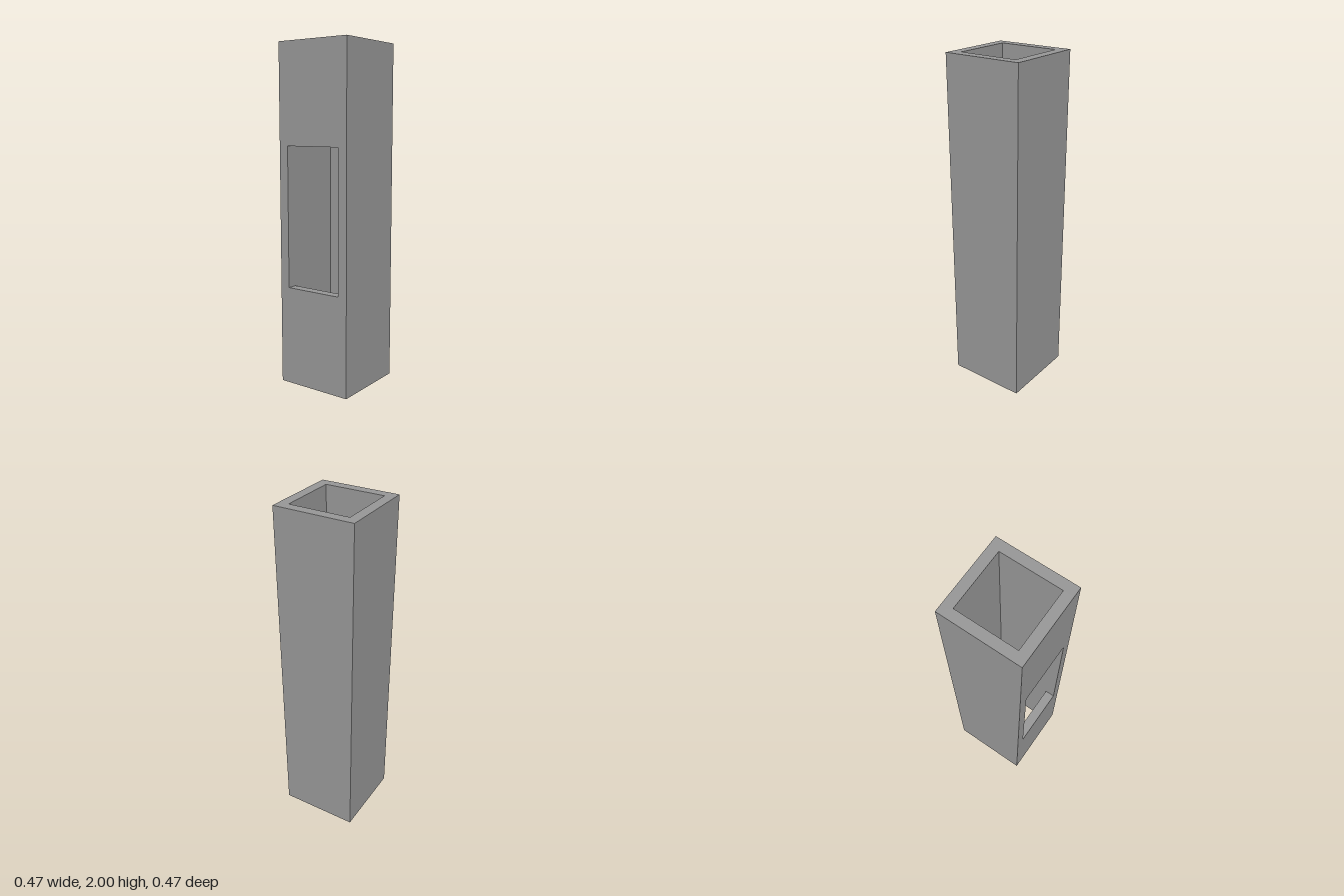
import * as THREE from 'three';

const HEIGHT = 2;
const OUTER = 0.235; // half width outside
const INNER = 0.177; // half width inside
const WINDOW_BOTTOM = 0.585;
const WINDOW_TOP = 1.415;

export function createModel() {
  const model = new THREE.Group();
  model.name = 'squareTube';
  const grey = new THREE.MeshStandardMaterial({ color: 0x959595 });
  grey.name = 'grey';

  // Back and side walls: a U-shaped section, open to the front, run up the full height
  const section = new THREE.Shape([
    [-OUTER, -OUTER], [-INNER, -OUTER], [-INNER, INNER], [INNER, INNER],
    [INNER, -OUTER], [OUTER, -OUTER], [OUTER, OUTER], [-OUTER, OUTER],
  ].map(([x, y]) => new THREE.Vector2(x, y)));
  const channelGeometry = new THREE.ExtrudeGeometry(section, { depth: HEIGHT, bevelEnabled: false });
  channelGeometry.rotateX(-Math.PI / 2);
  const channel = new THREE.Mesh(channelGeometry, grey);
  channel.name = 'backAndSideWalls';
  model.add(channel);

  // Front wall below and above the window, which is as wide as the inside
  const addFrontWall = (name, bottom, top) => {
    const wall = new THREE.Mesh(new THREE.BoxGeometry(INNER * 2, top - bottom, OUTER - INNER), grey);
    wall.position.set(0, (bottom + top) / 2, (OUTER + INNER) / 2);
    wall.name = name;
    model.add(wall);
  };
  addFrontWall('lowerFrontWall', 0, WINDOW_BOTTOM);
  addFrontWall('upperFrontWall', WINDOW_TOP, HEIGHT);

  return model;
}
